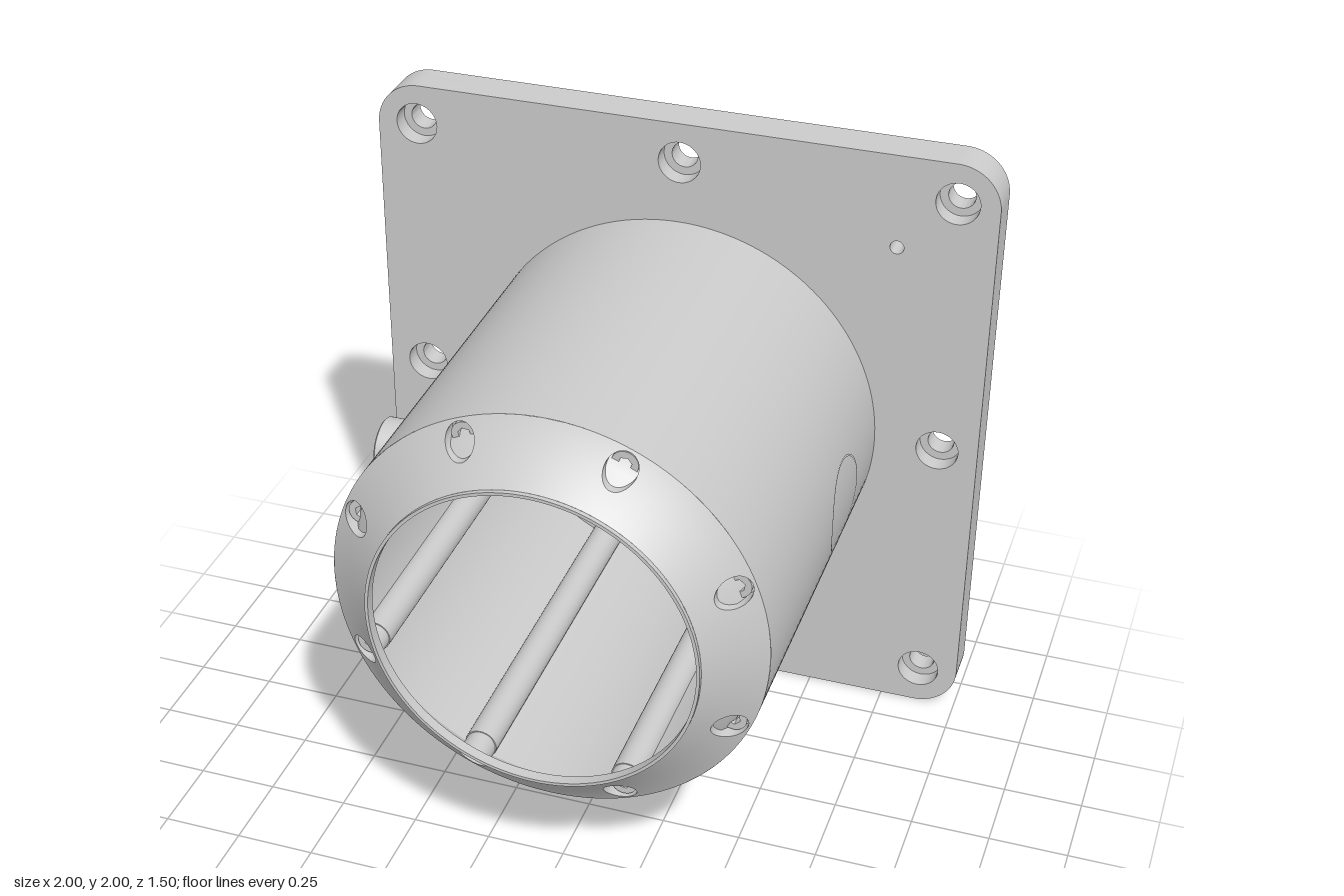
import * as THREE from 'three';
import { toCreasedNormals } from 'three/addons/utils/BufferGeometryUtils.js';

const mat = new THREE.MeshStandardMaterial({ color: 0xcccccc });
const matDouble = new THREE.MeshStandardMaterial({ color: 0xcccccc, side: THREE.DoubleSide });
const R = 0.667, LIP = 0.505, SCREW_R = 0.612, BORE = 0.047;
const SECTORS = Array.from({ length: 8 }, (_, i) => (i + 0.5) * Math.PI / 4);

function add(parent, name, geo, material = mat) {
  const m = new THREE.Mesh(geo, material);
  m.name = name;
  parent.add(m);
  return m;
}

// Revolve [radius, z] points around the z axis
const latheZ = (pts, seg = 64) =>
  toCreasedNormals(new THREE.LatheGeometry(pts.map(p => new THREE.Vector2(...p)), seg).rotateX(Math.PI / 2), 0.4);

// Revolve [radius, distance] points around an axis that points to -x
const latheSide = (pts, seg = 48) => latheZ(pts, seg).rotateY(-Math.PI / 2);

function circlePath(x, y, r) {
  return new THREE.Path().absarc(x, y, r, 0, Math.PI * 2, true);
}

// One layer of the mounting plate, axis at the origin
function plateLayer(z, depth, holes) {
  const s = new THREE.Shape(), c = 0.86, r = 0.14;
  s.absarc(c, c, r, 0, Math.PI / 2);
  s.absarc(-c, c, r, Math.PI / 2, Math.PI);
  s.absarc(-c, -c, r, Math.PI, Math.PI * 1.5);
  s.absarc(c, -c, r, Math.PI * 1.5, Math.PI * 2);
  s.closePath();
  s.holes.push(...holes);
  const g = new THREE.ExtrudeGeometry(s, { depth, bevelEnabled: false, curveSegments: 20 });
  return toCreasedNormals(g.translate(0, 0, z), 0.5);
}

// Slightly concave slope of the front shoulder
const slopeZ = r => { const t = (R - r) / (R - LIP); return 0.6 + 0.135 * (0.75 * t + 0.25 * t * t); };
const slopeD = r => { const t = (R - r) / (R - LIP); return -0.135 * (0.75 + 0.5 * t) / (R - LIP); };

// One eighth of the shoulder, with a screw hole, and the wall of that hole
function shoulderSector(floorZ) {
  const w = SCREW_R * Math.PI / 8, up = R - SCREW_R, down = SCREW_R - LIP;
  const phis = [Math.atan2(up, w), Math.atan2(up, -w), Math.atan2(-down, w), Math.atan2(-down, -w)];
  for (let i = 0; i < 96; i++) phis.push(-Math.PI + (i + 0.5) * Math.PI / 48);
  phis.sort((a, b) => a - b);
  const K = 6, n = phis.length, pos = [], nor = [], idx = [], wall = [], wallIdx = [];
  phis.forEach((p, i) => {
    const c = Math.cos(p), s = Math.sin(p);
    const edge = Math.min(w / Math.abs(c), (s > 0 ? up : down) / Math.abs(s));
    for (let k = 0; k <= K; k++) {
      const d = BORE + (edge - BORE) * k / K;
      const a = -d * c / SCREW_R, r = SCREW_R + d * s;
      const x = r * Math.cos(a), y = r * Math.sin(a), z = slopeZ(r), g = -slopeD(r);
      const l = Math.hypot(g, 1);
      pos.push(x, y, z);
      nor.push(g * Math.cos(a) / l, g * Math.sin(a) / l, 1 / l);
      if (k === 0) wall.push(x, y, z, x, y, floorZ);
      if (k < K) {
        const A = i * (K + 1) + k, B = ((i + 1) % n) * (K + 1) + k;
        idx.push(A, A + 1, B, B, A + 1, B + 1);
      }
    }
    const A = 2 * i, B = 2 * ((i + 1) % n);
    wallIdx.push(A, B, A + 1, B, B + 1, A + 1);
  });
  const top = new THREE.BufferGeometry();
  top.setAttribute('position', new THREE.Float32BufferAttribute(pos, 3));
  top.setAttribute('normal', new THREE.Float32BufferAttribute(nor, 3));
  // Wind the faces towards the front
  for (let i = 0; i < idx.length; i += 3) {
    const [a, b, c] = [idx[i] * 3, idx[i + 1] * 3, idx[i + 2] * 3];
    const area = (pos[b] - pos[a]) * (pos[c + 1] - pos[a + 1]) - (pos[b + 1] - pos[a + 1]) * (pos[c] - pos[a]);
    if (area < 0) [idx[i + 1], idx[i + 2]] = [idx[i + 2], idx[i + 1]];
  }
  top.setIndex(idx);
  const side = new THREE.BufferGeometry();
  side.setAttribute('position', new THREE.Float32BufferAttribute(wall, 3));
  side.setIndex(wallIdx);
  side.computeVertexNormals();
  return { top, side };
}

export function createModel() {
  const root = new THREE.Group();
  const body = new THREE.Group();
  body.name = 'cameraHousing';
  body.position.y = 1;
  root.add(body);

  // Mounting plate: counterbored bolts, a dowel hole, a slot, blind holes at the back
  const bolts = [];
  for (const x of [-1, 0, 1]) for (const y of [-1, 0, 1]) if (x || y) bolts.push([x * 0.87, y * 0.87]);
  const slot = new THREE.Path();
  slot.absarc(-0.688, -0.688, 0.025, -Math.PI / 4, Math.PI * 0.75, false);
  slot.absarc(-0.702, -0.702, 0.025, Math.PI * 0.75, Math.PI * 1.75, false);
  slot.closePath();
  const dowels = [circlePath(0.695, 0.695, 0.022), slot];
  const blind = SECTORS.map(a => circlePath(Math.cos(a) * SCREW_R, Math.sin(a) * SCREW_R, 0.023));
  add(body, 'plateBack', plateLayer(-0.75, 0.07, [...bolts.map(b => circlePath(...b, 0.042)), ...dowels, ...blind]));
  add(body, 'plateFront', plateLayer(-0.68, 0.06, [...bolts.map(b => circlePath(...b, 0.068)), ...dowels]));

  // Outer wall with a flat for the connectors on one side
  const wall = new THREE.LatheGeometry(
    [[R, -0.62], [R, 0.11], [R, 0.1102], [R, 0.6]].map(p => new THREE.Vector2(...p)), 192).rotateX(Math.PI / 2);
  const p = wall.attributes.position;
  for (let i = 0; i < p.count; i++)
    if (p.getZ(i) < 0.1101 && p.getX(i) < -0.65) p.setX(i, -0.65);
  add(body, 'outerWall', toCreasedNormals(wall, 0.15), matDouble);

  // Front lip and hollow inside
  add(body, 'lipAndInnerWall', latheZ([[LIP, 0.735], [LIP, 0.75], [0.495, 0.75], [0.495, 0.715],
    [0.6, 0.62], [0.62, 0.58], [0.62, -0.62]], 128), matDouble);

  // Front shoulder with eight sunk screws on long rods
  const floorZ = 0.57;
  const { top, side } = shoulderSector(floorZ);
  const headShape = new THREE.Shape().absarc(0, 0, 0.04, 0, Math.PI * 2);
  headShape.holes.push(new THREE.Path(Array.from({ length: 6 }, (_, i) =>
    new THREE.Vector2(Math.cos(i * Math.PI / 3) * 0.021, -Math.sin(i * Math.PI / 3) * 0.021))));
  const head = toCreasedNormals(new THREE.ExtrudeGeometry(headShape,
    { depth: 0.03, bevelEnabled: false, curveSegments: 16 }).translate(SCREW_R, 0, floorZ), 0.5);
  const rod = new THREE.CylinderGeometry(0.05, 0.05, floorZ + 0.62, 32)
    .rotateX(Math.PI / 2).translate(SCREW_R, 0, (floorZ - 0.62) / 2);
  for (const a of SECTORS) {
    const sector = new THREE.Group();
    sector.name = 'screwSector';
    sector.rotation.z = a;
    add(sector, 'shoulder', top);
    add(sector, 'screwHoleWall', side, matDouble);
    add(sector, 'screwHead', head);
    add(sector, 'rod', rod);
    body.add(sector);
  }

  // Main round connector with pins, and its inner end
  const plug = new THREE.Group();
  plug.name = 'mainConnector';
  plug.position.z = -0.085;
  body.add(plug);
  add(plug, 'socket', latheSide([[0, 0.53], [0.08, 0.53], [0.08, 0.56], [0.1, 0.56], [0.1, 0.6], [0.125, 0.63],
    [0.125, 0.67], [0.115, 0.675], [0.115, 0.69], [0.088, 0.69], [0.088, 0.7], [0.095, 0.705],
    [0.095, 0.795], [0.09, 0.8], [0.073, 0.8], [0.073, 0.73], [0, 0.73]]), matDouble);
  const pin = new THREE.CylinderGeometry(0.01, 0.01, 0.25, 12).rotateZ(Math.PI / 2);
  for (let i = 0; i < 6; i++) {
    const a = i * Math.PI / 3, r = 0.042;
    add(plug, 'pin', pin).position.set(-0.645, Math.sin(a) * r, Math.cos(a) * r);
  }

  // Second, flatter port with a small catch
  const port = new THREE.Group();
  port.name = 'flatPort';
  port.position.z = -0.47;
  body.add(port);
  add(port, 'cap', latheSide([[0, 0.56], [0.08, 0.56], [0.08, 0.62], [0.12, 0.63], [0.12, 0.67], [0.1, 0.675],
    [0.1, 0.69], [0.075, 0.69], [0.075, 0.675], [0, 0.675]]), matDouble);
  add(port, 'catchArm', new THREE.BoxGeometry(0.05, 0.06, 0.01)).position.set(-0.685, 0, 0.11);
  add(port, 'catchTip', new THREE.BoxGeometry(0.008, 0.06, 0.05)).position.set(-0.707, 0, 0.135);

  // Plain round rim following the wall on the other side
  const rim = new THREE.RingGeometry(0.148, 0.155, 64, 1);
  const q = rim.attributes.position;
  for (let i = 0; i < q.count; i++) {
    const y = q.getY(i), z = -q.getX(i);
    q.setXYZ(i, Math.sqrt(0.669 ** 2 - y * y), y, z - 0.23);
  }
  rim.computeVertexNormals();
  add(body, 'roundRim', rim, matDouble);

  return root;
}
